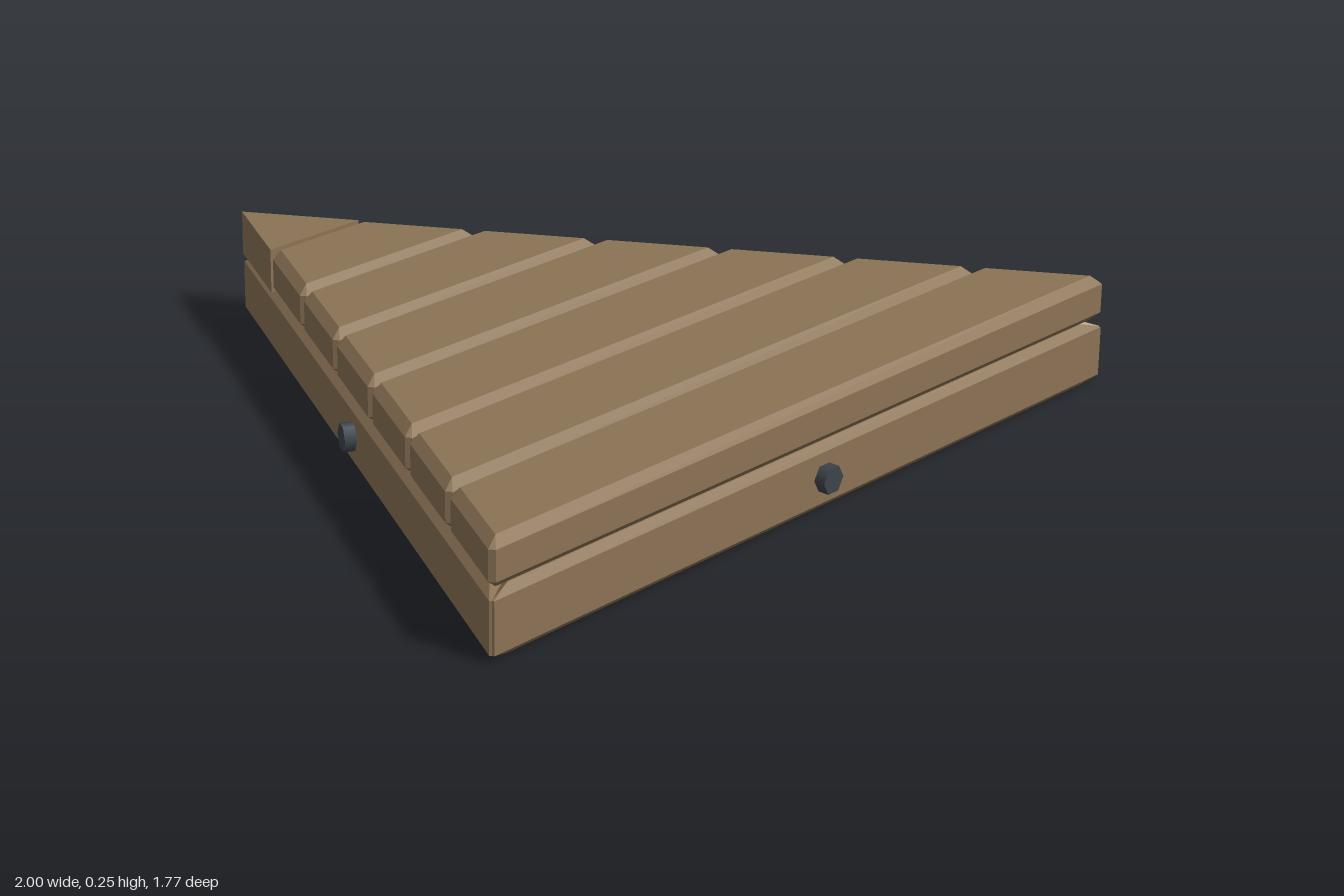
import * as THREE from 'three';
import { ConvexGeometry } from 'three/addons/geometries/ConvexGeometry.js';

const FRONT = 0.86, APEX = -0.885;
const TAN = Math.tan(Math.PI / 6);
const CENTRE = FRONT - (FRONT - APEX) / 3; // z of the triangle's centroid
const halfWidth = (z) => (z - APEX) * TAN;

// Upright prism over a convex outline of [x, z] corners, with every edge chamfered
function chamferedPrism(outline, y0, y1, bevel, cut) {
  const corners = outline.map(([x, z]) => new THREE.Vector2(x, z));
  const n = corners.length, points = [];
  corners.forEach((p, i) => {
    const u = corners[(i + 1) % n].clone().sub(p).normalize();
    const v = corners[(i + n - 1) % n].clone().sub(p).normalize();
    const inset = p.clone().add(u.clone().add(v).multiplyScalar(bevel / Math.abs(u.cross(v))));
    for (const y of [y0, y1]) points.push(new THREE.Vector3(inset.x, y, inset.y));
    for (const d of [u, v]) {
      const q = p.clone().addScaledVector(d, cut);
      for (const y of [y0 + bevel, y1 - bevel]) points.push(new THREE.Vector3(q.x, y, q.y));
    }
  });
  return new ConvexGeometry(points);
}

// Symmetric trapezoid between two depths
const trapezoid = (zf, wf, zb, wb) => [[-wf, zf], [wf, zf], [wb, zb], [-wb, zb]];

export function createModel() {
  const model = new THREE.Group();
  model.name = 'triangularPlatform';
  const wood = new THREE.MeshStandardMaterial({ color: 0x8b7355 });
  wood.name = 'brown wood';
  const metal = new THREE.MeshStandardMaterial({ color: 0x3d434c });
  metal.name = 'dark metal';

  const add = (parent, name, geometry, material) => {
    const mesh = new THREE.Mesh(geometry, material);
    mesh.name = name;
    parent.add(mesh);
    return mesh;
  };

  // Deck planks, shortening towards the back
  for (let i = 0; i < 6; i++) {
    const zf = FRONT - i * 0.25, zb = zf - 0.243;
    const outline = trapezoid(zf, halfWidth(zf), zb, halfWidth(zb));
    add(model, `deckPlank${i + 1}`, chamferedPrism(outline, 0.148, 0.255, 0.02, 0.015), wood);
  }

  // Sharp-edged triangular tip
  const tip = new THREE.Shape([
    new THREE.Vector2(-halfWidth(-0.64), 0.64),
    new THREE.Vector2(halfWidth(-0.64), 0.64),
    new THREE.Vector2(0, -APEX),
  ]);
  const tipGeometry = new THREE.ExtrudeGeometry(tip, { depth: 0.104, bevelEnabled: false });
  add(model, 'deckTip', tipGeometry.rotateX(-Math.PI / 2).translate(0, 0.147, 0), wood);

  // Three mitred frame beams, each with a hex bolt in the middle of its outer face
  const beamWidth = 0.17, outer = FRONT - CENTRE, length = halfWidth(FRONT);
  const beam = chamferedPrism(
    trapezoid(outer, length, outer - beamWidth, length - beamWidth / TAN), 0, 0.148, 0.017, 0.01);
  const bolt = new THREE.CylinderGeometry(0.032, 0.032, 0.04, 6)
    .rotateY(Math.PI / 6).rotateX(Math.PI / 2).translate(0, 0.075, outer + 0.006);
  ['front', 'left', 'right'].forEach((side, i) => {
    const group = new THREE.Group();
    group.name = `${side}Frame`;
    group.position.z = CENTRE;
    group.rotation.y = i * Math.PI * 2 / 3;
    add(group, `${side}Beam`, beam, wood);
    add(group, `${side}Bolt`, bolt, metal);
    model.add(group);
  });

  // Centre joist under the deck
  add(model, 'centreJoist',
    chamferedPrism(trapezoid(0.69, 0.06, -0.54, 0.06), 0, 0.148, 0.008, 0.008), wood);

  return model;
}
